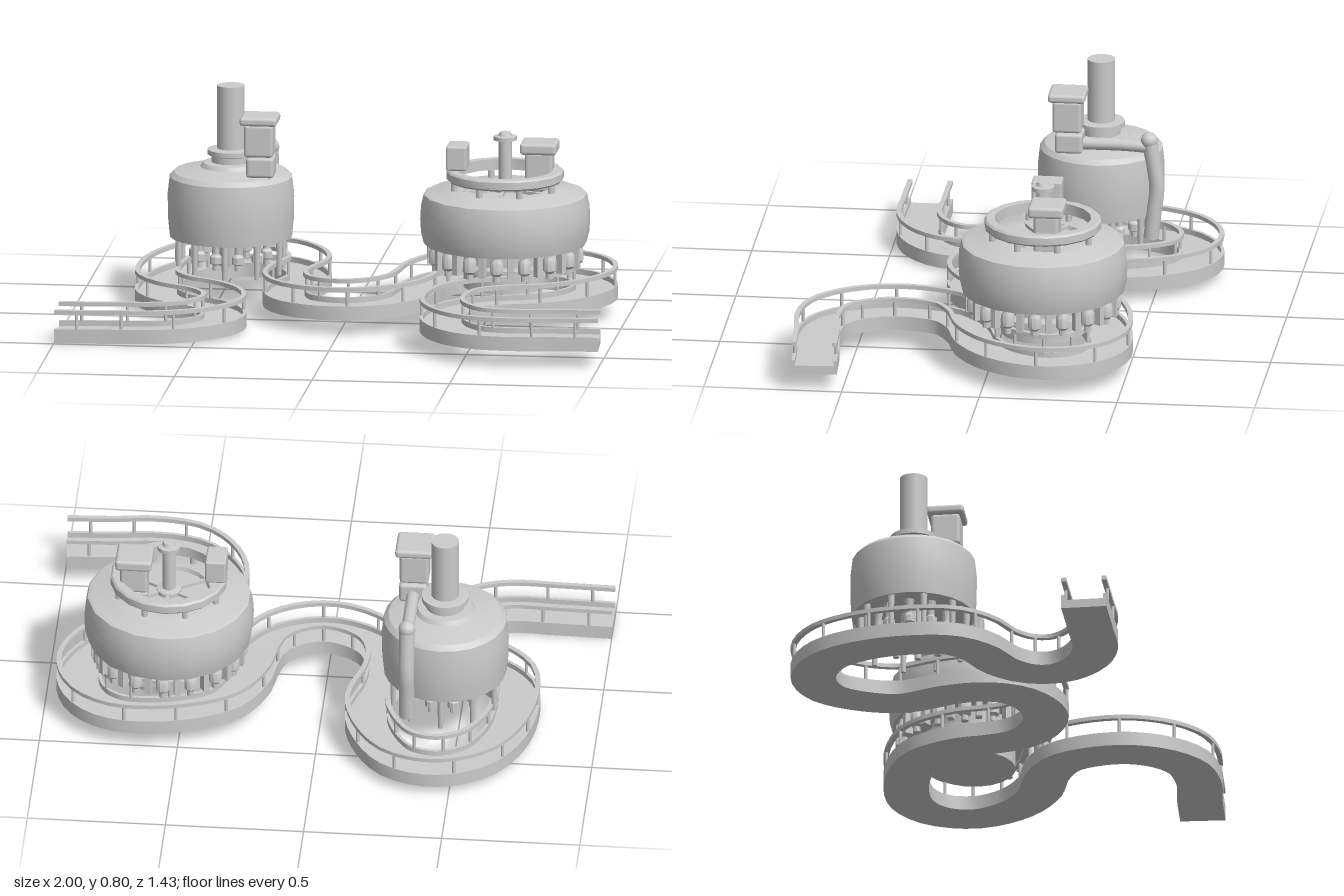
import * as THREE from 'three';
import { toCreasedNormals } from 'three/addons/utils/BufferGeometryUtils.js';
import { RoundedBoxGeometry } from 'three/addons/geometries/RoundedBoxGeometry.js';

const mat = new THREE.MeshStandardMaterial({ color: 0xcccccc });
const matDouble = new THREE.MeshStandardMaterial({ color: 0xcccccc, side: THREE.DoubleSide });

function add(parent, name, geo, x = 0, y = 0, z = 0, m = mat) {
  const mesh = new THREE.Mesh(geo, m);
  mesh.name = name;
  mesh.position.set(x, y, z);
  parent.add(mesh);
  return mesh;
}
const cyl = (r0, r1, y0, y1, n = 16) =>
  new THREE.CylinderGeometry(r1, r0, y1 - y0, n).translate(0, (y0 + y1) / 2, 0);
const lathe = (pts, n) =>
  toCreasedNormals(new THREE.LatheGeometry(pts.map(p => new THREE.Vector2(...p)), n), 0.6);
const rbox = (w, h, d, r = 0.012) => new RoundedBoxGeometry(w, h, d, 2, r);

// Centre line of the belt, as x, z
const PATH = [[-1, .41], [-.8, .41], [-.62, .405], [-.5, .35], [-.425, .25], [-.43, .14], [-.5, .05],
  [-.62, -.02], [-.69, -.11], [-.705, -.24], [-.675, -.42], [-.59, -.57], [-.45, -.64], [-.31, -.61],
  [-.22, -.5], [-.175, -.35], [-.22, -.17], [-.225, -.05], [-.18, .06], [-.08, .13], [.03, .148],
  [.15, .1], [.22, .02], [.25, -.08], [.27, -.2], [.34, -.33], [.44, -.39], [.6, -.43], [.74, -.42],
  [.84, -.345], [.88, -.21], [.82, -.06], [.7, .04], [.55, .09], [.45, .16], [.405, .27], [.4, .4],
  [.45, .52], [.54, .6], [.68, .625], [.82, .61], [.995, .6]];
const N = 140;
const curve = new THREE.CatmullRomCurve3(PATH.map(([x, z]) => new THREE.Vector3(x, 0, z)));
curve.arcLengthDivisions = 1000;
const stations = Array.from({ length: N + 1 }, (_, i) => {
  const u = i / N, p = curve.getPointAt(u), t = curve.getTangentAt(u);
  p.y = Math.min(0.062, 0.108 * u);
  return { p, n: new THREE.Vector3(t.z, 0, -t.x).normalize() };
});

// Rectangular bar following the belt: sideways a..b, height lo..hi
function sweep(a, b, lo, hi) {
  const pos = [], idx = [];
  const corners = [[a, lo], [b, lo], [b, hi], [a, hi]];
  stations.forEach(({ p, n }, k) => {
    for (const [s, h] of corners) pos.push(p.x + n.x * s, p.y + h, p.z + n.z * s);
    if (k === N) return;
    for (let i = 0; i < 4; i++) {
      const j = (i + 1) % 4, o = k * 4;
      idx.push(o + i, o + j, o + 4 + j, o + i, o + 4 + j, o + 4 + i);
    }
  });
  const e = N * 4;
  idx.push(0, 2, 1, 0, 3, 2, e, e + 1, e + 2, e, e + 2, e + 3);
  const geo = new THREE.BufferGeometry();
  geo.setAttribute('position', new THREE.Float32BufferAttribute(pos, 3));
  geo.setIndex(idx);
  return toCreasedNormals(geo, 0.6);
}

function buildConveyor() {
  const g = new THREE.Group();
  g.name = 'conveyor';
  add(g, 'beltBed', sweep(-0.07, 0.07, 0, 0.032));
  const post = cyl(0.006, 0.006, 0.045, 0.112, 8);
  for (const s of [-1, 1]) {
    add(g, 'sideWall', s > 0 ? sweep(0.07, 0.082, 0, 0.052) : sweep(-0.082, -0.07, 0, 0.052));
    add(g, 'guideRail', s > 0 ? sweep(0.064, 0.082, 0.106, 0.121) : sweep(-0.082, -0.064, 0.106, 0.121));
    for (let i = 2; i <= N; i += 4) {
      const { p, n } = stations[i];
      add(g, 'railPost', post, p.x + n.x * s * 0.075, p.y, p.z + n.z * s * 0.075);
    }
  }
  return g;
}

// Repeats a part around the vertical axis
function ring(parent, name, geo, count, r, phase = 0) {
  for (let i = 0; i < count; i++) {
    const a = (i + phase) / count * Math.PI * 2;
    add(parent, name, geo, Math.cos(a) * r, 0, Math.sin(a) * r).rotation.y = -a;
  }
}

function buildTallFiller() {
  const g = new THREE.Group();
  g.name = 'tallFiller';
  g.position.set(-0.45, 0, -0.275);
  add(g, 'tank', lathe([[0, .26], [.19, .26], [.222, .25], [.229, .32], [.23, .4], [.222, .47], [.205, .487],
    [.11, .505], [.1, .52], [.07, .522], [.07, .545], [.085, .55], [.085, .568], [.05, .572], [0, .572]], 24));
  add(g, 'stack', cyl(0.05, 0.05, 0.5, 0.803, 20));
  add(g, 'spindle', cyl(0.045, 0.045, 0.14, 0.27));
  // Filling valves under the tank
  ring(g, 'fillingValve', lathe([[0, .145], [.012, .145], [.012, .165], [.022, .17], [.022, .195],
    [.013, .205], [.013, .235], [.02, .265]], 10), 10, 0.13);
  ring(g, 'supportRod', cyl(0.009, 0.013, 0.12, 0.265, 8), 10, 0.192, 0.5);
  // Drive motor
  add(g, 'motorFoot', rbox(0.1, 0.075, 0.1), 0.122, 0.53, 0.1);
  add(g, 'motorHousing', rbox(0.105, 0.12, 0.105), 0.118, 0.63, 0.107);
  add(g, 'motorCap', rbox(0.135, 0.032, 0.135), 0.118, 0.704, 0.107);
  // Feed pipe over the tank and down the back
  const feed = new THREE.CatmullRomCurve3([[.122, .52, .06], [.122, .52, -.1], [.122, .515, -.19]]
    .map(p => new THREE.Vector3(...p)));
  add(g, 'feedArm', new THREE.TubeGeometry(feed, 8, 0.023, 12), 0, 0, 0, matDouble);
  const down = new THREE.CatmullRomCurve3([[.122, .54, -.188], [.122, .44, -.205], [.122, .36, -.215],
    [.122, .27, -.205], [.122, .17, -.195]].map(p => new THREE.Vector3(...p)));
  add(g, 'downPipe', new THREE.TubeGeometry(down, 16, 0.028, 12), 0, 0, 0, matDouble);
  add(g, 'pipeElbow', new THREE.SphereGeometry(0.031, 14, 10), 0.122, 0.54, -0.188);
  return g;
}

function buildWideFiller() {
  const g = new THREE.Group();
  g.name = 'wideFiller';
  g.position.set(0.558, 0, -0.18);
  add(g, 'tank', lathe([[0, .275], [.25, .275], [.294, .27], [.304, .31], [.307, .36], [.304, .41], [.295, .45],
    [.28, .457], [.235, .457], [.21, .47], [.15, .47], [.145, .455], [0, .46]], 18));
  add(g, 'baseDrum', cyl(0.152, 0.152, 0.11, 0.28, 20));
  add(g, 'drumFlange', cyl(0.21, 0.21, 0.19, 0.205, 20));
  // Valve crown between the tank and the belt
  ring(g, 'fillingValve', lathe([[0, .18], [.014, .18], [.014, .2], [.024, .21], [.024, .25],
    [.017, .262], [.017, .28]], 10), 16, 0.26);
  ring(g, 'valveBracket', new THREE.BoxGeometry(0.03, 0.085, 0.022).translate(0, 0.235, 0), 16, 0.265, 0.5);
  // Raised collector ring on short legs
  add(g, 'collectorRing', lathe([[.175, .5], [.205, .5], [.212, .507], [.212, .533], [.205, .54],
    [.175, .54], [.175, .5]], 18));
  ring(g, 'ringLeg', cyl(0.012, 0.012, 0.455, 0.51, 8), 8, 0.19, 0.5);
  ring(g, 'spoke', new THREE.BoxGeometry(0.15, 0.012, 0.012).translate(0, 0.466, 0), 6, 0.085, 0.5);
  // Central column with cap
  add(g, 'column', lathe([[.045, .46], [.045, .475], [.024, .48], [.024, .645], [.042, .648], [.042, .662],
    [.025, .664], [.02, .677], [0, .678]], 14));
  // Gearbox and control box
  add(g, 'gearboxFoot', rbox(0.1, 0.04, 0.09), 0.122, 0.48, -0.03);
  add(g, 'gearbox', rbox(0.1, 0.11, 0.09), 0.122, 0.55, -0.03);
  add(g, 'gearboxCap', rbox(0.132, 0.042, 0.128), 0.122, 0.62, -0.03);
  add(g, 'controlBox', rbox(0.075, 0.09, 0.11, 0.008), -0.172, 0.584, 0.003);
  return g;
}

export function createModel() {
  const model = new THREE.Group();
  model.name = 'fillingLine';
  model.add(buildConveyor(), buildTallFiller(), buildWideFiller());
  return model;
}
